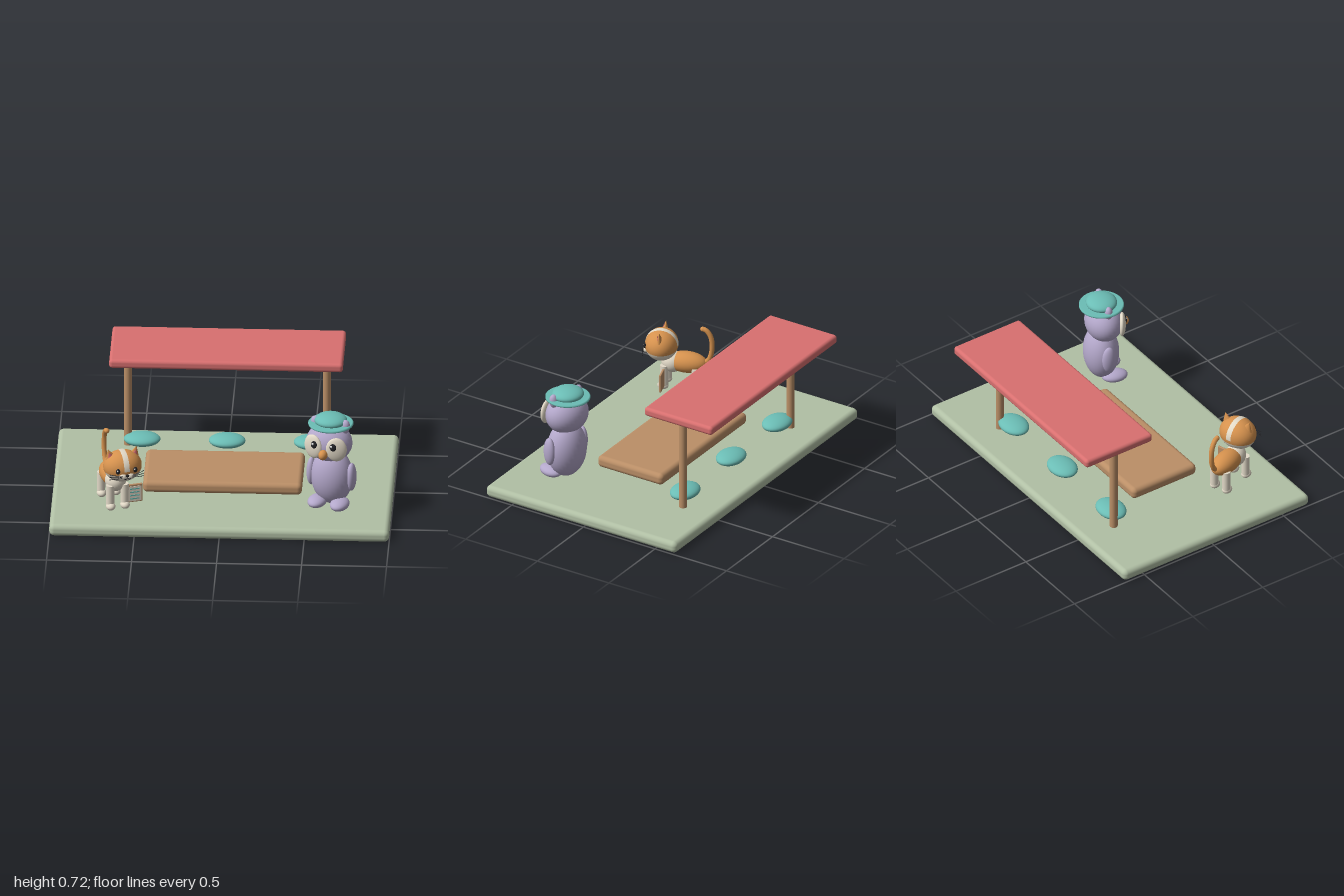
import * as THREE from 'three';
import { RoundedBoxGeometry } from 'three/addons/geometries/RoundedBoxGeometry.js';

const paint = (name, color, extra = {}) => {
  const m = new THREE.MeshStandardMaterial({ color, ...extra });
  m.name = name;
  return m;
};

export function createModel() {
  const sage = paint('sage', 0xb1c0a5);
  const red = paint('coral red', 0xd97070);
  const wood = paint('wood', 0xbb8f67);
  const teal = paint('teal', 0x6bbdb5);
  const lilac = paint('lilac', 0xb4a8cb);
  const cream = paint('cream', 0xe3dac8, { side: THREE.DoubleSide });
  const orange = paint('orange', 0xd6924e);
  const black = paint('black', 0x222226);
  const white = paint('white', 0xfafafa);

  const model = new THREE.Group();
  model.name = 'shelterScene';

  const add = (parent, name, geo, mat, x = 0, y = 0, z = 0) => {
    const mesh = new THREE.Mesh(geo, mat);
    mesh.name = name;
    mesh.position.set(x, y, z);
    parent.add(mesh);
    return mesh;
  };
  const blob = (parent, name, mat, [x, y, z], [rx, ry, rz]) => {
    const mesh = add(parent, name, new THREE.SphereGeometry(1, 32, 20), mat, x, y, z);
    mesh.scale.set(rx, ry, rz);
    return mesh;
  };
  const slab = (parent, name, mat, [x, y, z], [w, h, d], r) =>
    add(parent, name, new RoundedBoxGeometry(w, h, d, 4, r), mat, x, y, z);
  const tube = (parent, name, mat, pts, r, n = 24) =>
    add(parent, name, new THREE.TubeGeometry(
      new THREE.CatmullRomCurve3(pts.map(p => new THREE.Vector3(...p))), n, r, 10), mat);

  // Ground, low table and shelter
  slab(model, 'ground', sage, [0, 0.037, 0.023], [2, 0.074, 1.33], 0.03);
  slab(model, 'lowTable', wood, [0, 0.122, 0.022], [0.935, 0.074, 0.456], 0.028);
  slab(model, 'roof', red, [0, 0.692, -0.457], [1.375, 0.056, 0.475], 0.02);
  for (const s of [-1, 1]) {
    slab(model, 'postTop', wood, [0, 0, 0], [0.01, 0.01, 0.01], 0.002).removeFromParent();
    add(model, 'post', new THREE.CylinderGeometry(0.024, 0.024, 0.575, 24), wood, s * 0.585, 0.36, -0.43);
  }
  for (const x of [-0.5, 0, 0.5]) blob(model, 'cushion', teal, [x, 0.13, -0.39], [0.108, 0.037, 0.082]);

  // Owl
  const owl = new THREE.Group();
  owl.name = 'owl';
  owl.position.set(0.65, 0, 0.34);
  owl.rotation.y = -0.3;
  model.add(owl);
  blob(owl, 'owlBody', lilac, [0, 0.27, 0], [0.127, 0.175, 0.105]);
  blob(owl, 'owlHead', lilac, [-0.012, 0.495, 0.012], [0.138, 0.12, 0.112]);
  for (const s of [-1, 1]) {
    blob(owl, 'owlWing', lilac, [s * 0.125, 0.285, 0.01], [0.028, 0.088, 0.042]);
    blob(owl, 'owlFoot', lilac, [s * 0.07, 0.122, 0.062], [0.055, 0.034, 0.078]);
    blob(owl, 'owlTuft', lilac, [s * 0.09 - 0.005, 0.605, 0.015], [0.03, 0.046, 0.026]).rotation.z = -s * 0.2;
    const disc = blob(owl, 'owlEyeDisc', cream, [s * 0.072 - 0.008, 0.495, 0.105], [0.062, 0.075, 0.022]);
    disc.rotation.y = s * 0.3;
    blob(owl, 'owlPupil', black, [s * 0.058 - 0.008, 0.515, 0.126], [0.021, 0.024, 0.011]);
    blob(owl, 'owlGlint', white, [s * 0.058 - 0.015, 0.523, 0.135], [0.007, 0.008, 0.004]);
  }
  blob(owl, 'owlBeak', orange, [-0.008, 0.462, 0.135], [0.027, 0.03, 0.034]);
  add(owl, 'hatBrim', new THREE.LatheGeometry(
    [[0, -0.008], [0.126, -0.008], [0.133, -0.004], [0.133, 0.004], [0.126, 0.008], [0, 0.008]]
      .map(p => new THREE.Vector2(...p)), 48), teal, -0.008, 0.61, 0);
  blob(owl, 'hatCrown', teal, [-0.008, 0.63, 0], [0.097, 0.04, 0.092]);

  // Cat
  const cat = new THREE.Group();
  cat.name = 'cat';
  cat.position.set(-0.64, 0, 0.36);
  cat.rotation.y = 0.33;
  model.add(cat);
  blob(cat, 'catBody', orange, [0, 0.255, -0.025], [0.068, 0.064, 0.125]);
  blob(cat, 'catChest', cream, [0, 0.25, 0.06], [0.062, 0.066, 0.068]);
  for (const s of [-1, 1]) for (const z of [-0.09, 0.1]) {
    add(cat, 'catLeg', new THREE.CylinderGeometry(0.025, 0.024, 0.14, 20), cream, s * 0.044, 0.17, z);
    blob(cat, 'catPaw', cream, [s * 0.044, 0.106, z + 0.008], [0.028, 0.024, 0.034]);
  }
  tube(cat, 'catTail', orange, [[0, 0.25, -0.12], [0, 0.29, -0.16], [0, 0.36, -0.178],
    [0, 0.44, -0.17], [0, 0.48, -0.142], [0, 0.485, -0.122]], 0.015);
  blob(cat, 'catTailTip', orange, [0, 0.485, -0.122], [0.015, 0.015, 0.015]);

  // Cat head: orange cap, cream lower face and a blaze over the crown
  const head = new THREE.Group();
  head.name = 'catHead';
  head.position.set(0.025, 0.37, 0.12);
  cat.add(head);
  const R = [0.115, 0.095, 0.098];
  add(head, 'headCap', new THREE.SphereGeometry(1, 36, 18, 0, Math.PI * 2, 0, 1.85), orange).scale.set(...R);
  add(head, 'headLower', new THREE.SphereGeometry(1, 36, 12, 0, Math.PI * 2, 1.85, Math.PI - 1.85), cream).scale.set(...R);
  const band = new THREE.SphereGeometry(1.015, 40, 4, 0, Math.PI, Math.PI / 2 - 0.14, 0.28);
  band.rotateZ(Math.PI / 2);
  band.rotateX(-Math.PI / 2);
  add(head, 'blaze', band, cream).scale.set(...R);
  for (const s of [-1, 1]) {
    const ear = add(head, 'catEar', new THREE.ConeGeometry(0.036, 0.07, 20), orange, s * 0.078, 0.08, -0.005);
    ear.scale.z = 0.55;
    ear.rotation.z = -s * 0.28;
    const inner = add(ear, 'innerEar', new THREE.ConeGeometry(0.024, 0.05, 20), red, 0, -0.006, 0.018);
    inner.scale.z = 0.7;
    blob(head, 'catMuzzle', cream, [s * 0.02, -0.033, 0.086], [0.027, 0.021, 0.02]);
    blob(head, 'catEye', black, [s * 0.052, 0.004, 0.087], [0.014, 0.017, 0.009]);
    blob(head, 'catGlint', white, [s * 0.052 - 0.004, 0.01, 0.094], [0.004, 0.005, 0.003]);
    for (const k of [-1, 0, 1]) tube(head, 'whisker', black,
      [[s * 0.03, -0.028 + k * 0.006, 0.103], [s * 0.07, -0.026 + k * 0.011, 0.1],
        [s * 0.105, -0.024 + k * 0.017, 0.09]], 0.0017, 6);
    tube(head, 'catMouth', black, [[0, -0.034, 0.106], [s * 0.01, -0.043, 0.106], [s * 0.022, -0.039, 0.105]], 0.002, 8);
  }
  blob(head, 'catNose', black, [0, -0.022, 0.104], [0.011, 0.008, 0.008]);

  // Note board beside the front leg
  const board = new THREE.Group();
  board.name = 'noteBoard';
  board.position.set(-0.51, 0.17, 0.42);
  board.rotation.y = 0.33;
  model.add(board);
  slab(board, 'boardBack', wood, [0, 0, 0], [0.1, 0.115, 0.014], 0.005);
  add(board, 'paper', new THREE.BoxGeometry(0.082, 0.095, 0.004), cream, 0, -0.002, 0.008);
  for (let i = 0; i < 4; i++)
    add(board, 'paperLine', new THREE.BoxGeometry(0.06, 0.007, 0.003), teal, 0, 0.03 - i * 0.021, 0.0105);

  return model;
}
